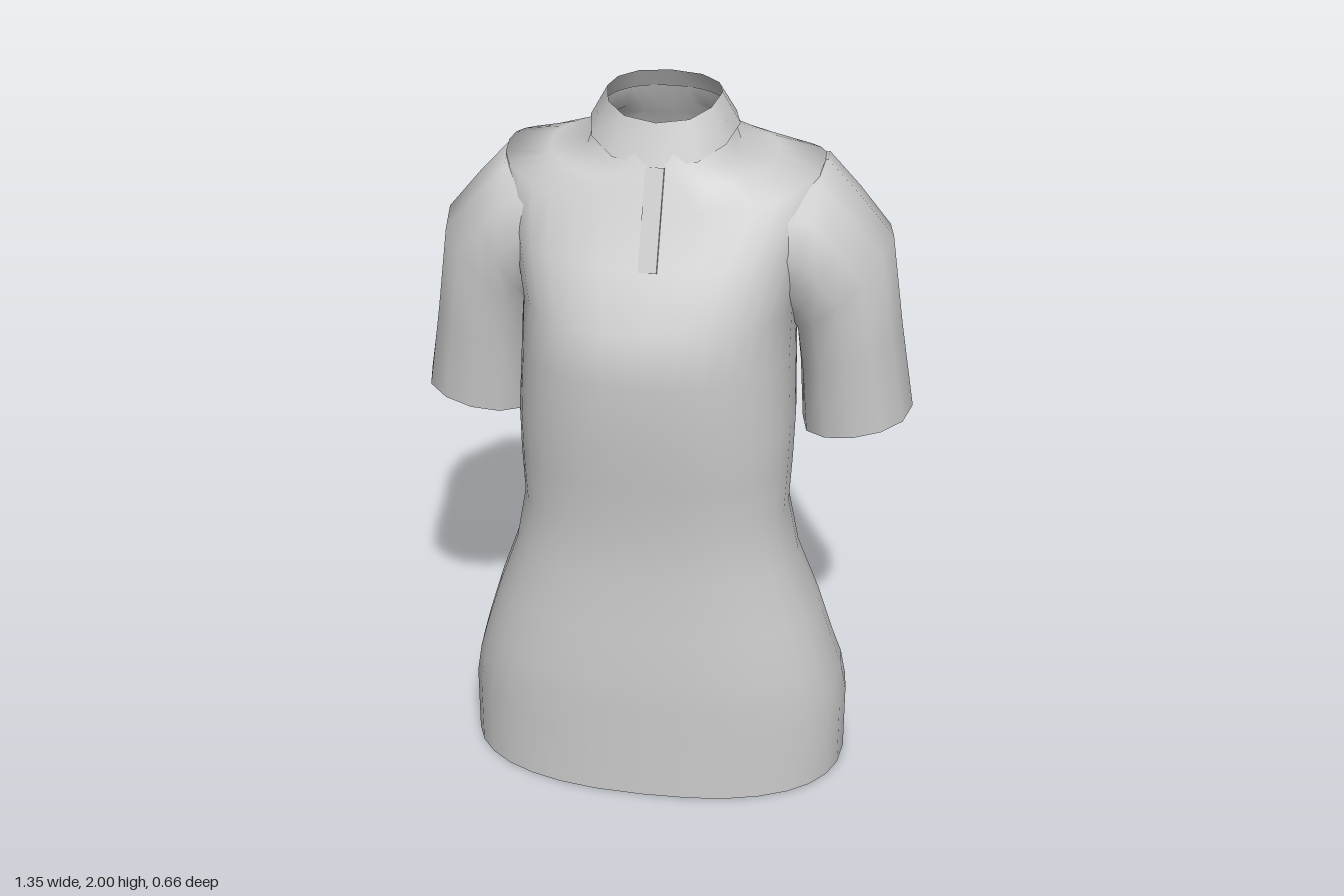
import * as THREE from 'three';

const material = new THREE.MeshStandardMaterial({ color: 0xcccccc, side: THREE.DoubleSide });

// Skin closed rings of Vector3, listed from bottom to top, with smooth normals
function loft(name, rings) {
  const n = rings[0].length, index = [];
  for (let i = 0; i < rings.length - 1; i++) {
    for (let j = 0; j < n; j++) {
      const a = i * n + j, b = i * n + (j + 1) % n;
      index.push(a, a + n, b, b, a + n, b + n);
    }
  }
  const geometry = new THREE.BufferGeometry().setFromPoints(rings.flat());
  geometry.setIndex(index);
  geometry.computeVertexNormals();
  const mesh = new THREE.Mesh(geometry, material);
  mesh.name = name;
  return mesh;
}

const power = (v, e) => Math.sign(v) * Math.abs(v) ** e;

// Body ring: half width, front, back and side z, front, side and back y, front and back squareness
function bodyRing([w, zF, zB, zS, yF, yS = yF, yB = yF, sqF = 2.4, sqB = 2.4], count) {
  return Array.from({ length: count }, (_, j) => {
    const a = (j / count) * Math.PI * 2;
    const front = Math.sin(a) >= 0, e = 2 / (front ? sqF : sqB);
    const c = power(Math.cos(a), e), s = Math.abs(Math.sin(a)) ** e;
    return new THREE.Vector3(w * c,
      yS + ((front ? yF : yB) - yS) * s * s,
      zS + ((front ? zF : zB) - zS) * s);
  });
}

// Sleeve ring: outer x, y, inner x, y, front z, back z
function sleeveRing([xo, yo, xi, yi, zF, zB], count) {
  return Array.from({ length: count }, (_, j) => {
    const a = (j / count) * Math.PI * 2;
    const t = (1 + Math.cos(a)) / 2;
    const s = power(Math.sin(a), 0.8);
    return new THREE.Vector3(xi + (xo - xi) * t, yi + (yo - yi) * t,
      (zF + zB) / 2 + s * (zF - zB) / 2);
  });
}

export function createModel() {
  const shirt = new THREE.Group();
  shirt.name = 'shirt';

  // Torso: hem, hips, waist, chest, shoulders, neck opening
  const body = [
    [0.54, 0.30, -0.33, -0.03, 0],
    [0.54, 0.30, -0.33, -0.03, 0.2],
    [0.525, 0.30, -0.31, -0.02, 0.29],
    [0.50, 0.30, -0.255, 0, 0.38],
    [0.455, 0.29, -0.225, 0.01, 0.53],
    [0.395, 0.28, -0.19, 0.03, 0.7],
    [0.365, 0.28, -0.18, 0.04, 0.86],
    [0.372, 0.30, -0.20, 0.03, 1.0],
    [0.375, 0.31, -0.225, 0.02, 1.12],
    [0.365, 0.33, -0.28, 0, 1.32, 1.32, 1.32, 2.4, 2.8],
    [0.365, 0.31, -0.31, -0.05, 1.46, 1.46, 1.46, 2.5, 3.2],
    [0.40, 0.22, -0.33, -0.10, 1.6, 1.65, 1.65, 2.8, 4],
    [0.42, 0.145, -0.27, -0.10, 1.74, 1.81, 1.8, 2.6, 3],
    [0.30, 0.12, -0.24, -0.10, 1.8, 1.825, 1.86],
    [0.20, 0.10, -0.22, -0.08, 1.835, 1.84, 1.9],
    [0.172, 0.07, -0.20, -0.08, 1.9, 1.93, 1.95],
  ];
  const torso = loft('torso', body.map((r) => bodyRing(r, 32)));
  torso.position.x = -0.005;
  shirt.add(torso);

  // Short sleeves, open at the cuff and tucked into the shoulder
  const sleeve = [
    [0.675, 1.10, 0.375, 1.04, 0.04, -0.28],
    [0.635, 1.35, 0.365, 1.22, 0.06, -0.29],
    [0.60, 1.60, 0.35, 1.35, 0.085, -0.315],
    [0.51, 1.71, 0.34, 1.38, 0.10, -0.32],
    [0.42, 1.81, 0.33, 1.40, 0.11, -0.315],
    [0.28, 1.80, 0.28, 1.45, 0.12, -0.28],
  ];
  for (const side of [1, -1]) {
    const mesh = loft(side > 0 ? 'leftSleeve' : 'rightSleeve', sleeve.map((r) => sleeveRing(r, 12)));
    mesh.scale.x = side;
    shirt.add(mesh);
  }

  // Stand collar, flared over the neck opening
  const collar = [
    [0.197, 0.10, -0.225, -0.09, 1.84, 1.9, 1.92],
    [0.15, 0.06, -0.18, -0.08, 1.945, 1.985, 2.0],
  ];
  const collarMesh = loft('collar', collar.map((r) => bodyRing(r, 12)));
  collarMesh.position.x = -0.005;
  shirt.add(collarMesh);

  // Placket lying on the sloping upper chest, its left edge slightly raised
  const top = new THREE.Vector3(0, 1.84, 0.10), bottom = new THREE.Vector3(0, 1.6, 0.22);
  const placket = new THREE.Mesh(
    new THREE.BoxGeometry(0.05, top.distanceTo(bottom), 0.006), material);
  placket.name = 'placket';
  placket.position.addVectors(top, bottom).multiplyScalar(0.5);
  placket.rotation.set(-Math.atan2(bottom.z - top.z, top.y - bottom.y), -0.15, 0);
  shirt.add(placket);

  return shirt;
}
